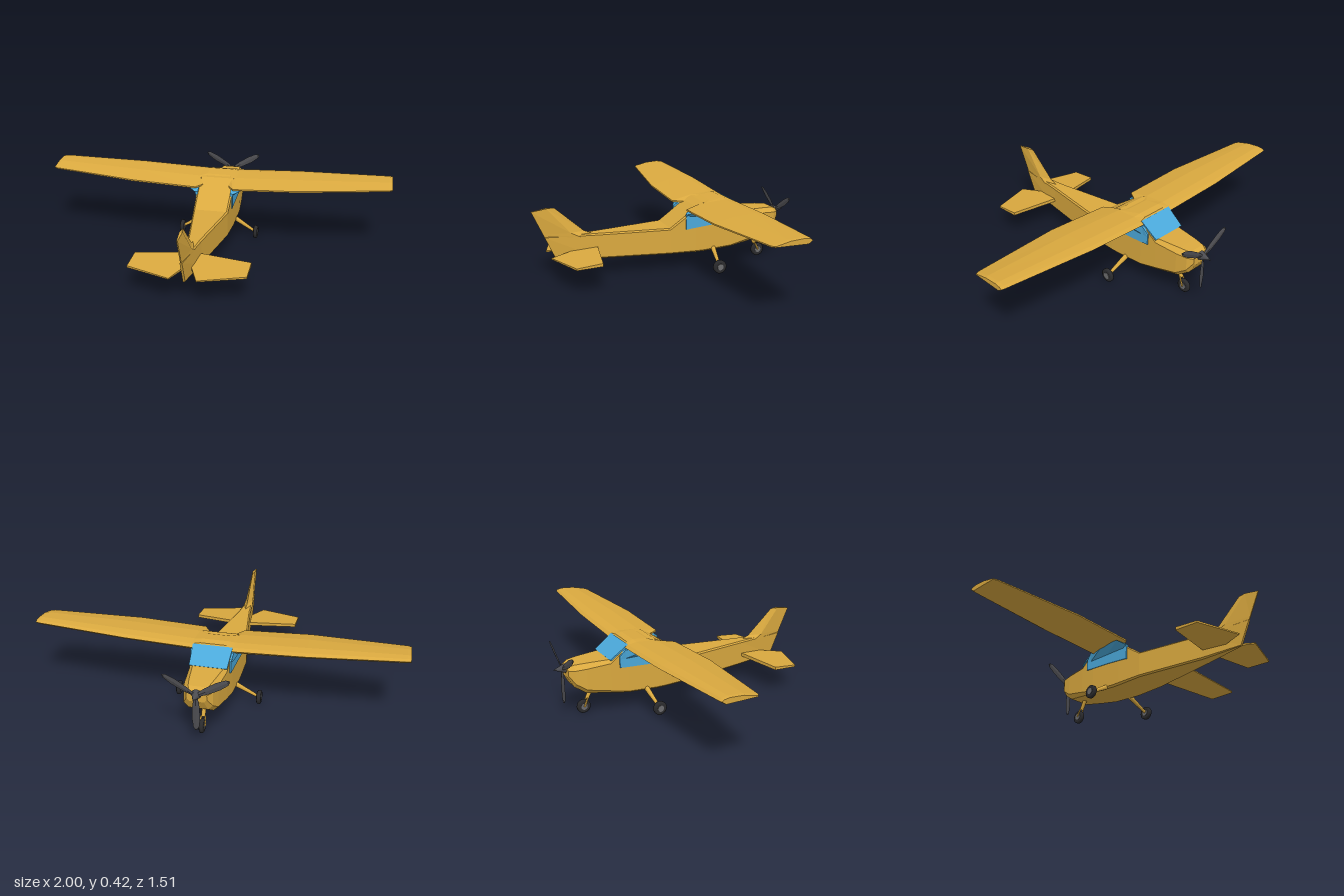
import * as THREE from 'three';

const mat = (name, color) => {
  const m = new THREE.MeshStandardMaterial({ color });
  m.name = name;
  return m;
};

// Flat-shaded solid through rings of [x, y, z] points, capped at both ends.
function loft(rings) {
  const pos = [], n = rings[0].length;
  const tri = (a, b, c) => pos.push(...a, ...b, ...c);
  for (let i = 0; i < rings.length - 1; i++) {
    for (let j = 0; j < n; j++) {
      const k = (j + 1) % n, A = rings[i], B = rings[i + 1];
      tri(A[j], A[k], B[k]);
      tri(A[j], B[k], B[j]);
    }
  }
  const last = rings[rings.length - 1];
  for (let j = 1; j < n - 1; j++) {
    tri(rings[0][0], rings[0][j + 1], rings[0][j]);
    tri(last[0], last[j], last[j + 1]);
  }
  // Turn all corners round when the enclosed volume comes out negative
  let vol = 0;
  const v = (i) => new THREE.Vector3().fromArray(pos, i);
  for (let i = 0; i < pos.length; i += 9) vol += v(i).dot(v(i + 3).cross(v(i + 6)));
  if (vol < 0) {
    for (let i = 0; i < pos.length; i += 9) {
      const b = pos.slice(i + 3, i + 6);
      for (let j = 0; j < 3; j++) {
        pos[i + 3 + j] = pos[i + 6 + j];
        pos[i + 6 + j] = b[j];
      }
    }
  }
  const g = new THREE.BufferGeometry();
  g.setAttribute('position', new THREE.Float32BufferAttribute(pos, 3));
  g.computeVertexNormals();
  return g;
}

export function createModel() {
  const group = new THREE.Group();
  const paint = mat('yellow paint', 0xdaa93f);
  const glass = mat('blue glass', 0x4ba9da);
  const rubber = mat('black rubber', 0x2b2b2d);
  const hubGrey = mat('hub grey', 0x6c6c6e);
  const propGrey = mat('propeller grey', 0x4c4c50);
  const add = (name, geo, material, parent = group) => {
    const m = new THREE.Mesh(geo, material);
    m.name = name;
    parent.add(m);
    return m;
  };
  const rod = (name, a, b, r1, r2) => {
    const p = new THREE.Vector3(...a), q = new THREE.Vector3(...b), d = q.clone().sub(p);
    const m = add(name, new THREE.CylinderGeometry(r2, r1, d.length(), 8), paint);
    m.position.copy(p).add(q).multiplyScalar(0.5);
    m.quaternion.setFromUnitVectors(new THREE.Vector3(0, 1, 0), d.normalize());
  };

  // Fuselage: z, half width, bottom, top, corner cut, rearward slant with height
  const body = [
    [-0.69, 0.052, 0.235, 0.29, 0.015, 0],
    [-0.66, 0.075, 0.18, 0.304, 0.025, 0],
    [-0.6, 0.087, 0.14, 0.308, 0.025, 0],
    [-0.47, 0.099, 0.12, 0.311, 0.018, 0],
    [-0.37, 0.105, 0.107, 0.382, 0.01, 0],
    [-0.2, 0.105, 0.096, 0.382, 0.01, 0],
    [-0.155, 0.105, 0.096, 0.36, 0.01, 0],
    [0, 0.1, 0.1, 0.25, 0.008, 0],
    [0.4, 0.037, 0.101, 0.245, 0.008, 0],
    [0.63, 0.006, 0.113, 0.245, 0.003, 0.45],
  ];
  add('fuselage', loft(body.map(([z, w, b, t, c, s]) => [
    [w - c, b], [w, b + c], [w, t - c], [w - c, t],
    [c - w, t], [-w, t - c], [-w, b + c], [c - w, b],
  ].map(([x, y]) => [x, y, z + (y - b) * s]))), paint);

  // Windshield
  add('windshield', loft([[-0.474, 0.313, 0.1], [-0.372, 0.386, 0.106]].map(([z, y, w]) => [
    [w, y, z], [-w, y, z], [-w, y - 0.006, z + 0.006], [w, y - 0.006, z + 0.006],
  ])), glass);

  // Side windows, flaring out below the wing: z, bottom, top, flare
  const pane = [
    [-0.42, 0.263, 0.33, 0.108],
    [-0.388, 0.26, 0.366, 0.115],
    [-0.25, 0.252, 0.362, 0.15],
    [-0.12, 0.24, 0.348, 0.16],
    [-0.092, 0.236, 0.328, 0.112],
  ];
  for (const s of [1, -1]) {
    add(s > 0 ? 'leftWindow' : 'rightWindow', loft(pane.map(([z, b, t, f]) => [
      [0.095, b], [0.109, b], [0.109, 0.31], [f, t - 0.005], [0.095, t],
    ].map(([x, y]) => [s * x, y, z]))), glass);
  }

  // Wing: x, leading edge, trailing edge, bottom, top
  const half = [
    [0.07, -0.375, -0.155, 0.345, 0.397],
    [0.11, -0.39, -0.09, 0.345, 0.392],
    [0.48, -0.39, -0.09, 0.361, 0.405],
    [0.98, -0.358, -0.15, 0.384, 0.418],
    [1, -0.354, -0.162, 0.387, 0.416],
  ];
  const span = [...half.map(([x, ...r]) => [-x, ...r]).reverse(), ...half];
  add('wing', loft(span.map(([x, le, te, b, t]) => {
    const c = te - le, h = t - b;
    return [
      [0, 0.55], [0.06, 0.85], [0.22, 1], [0.6, 0.82], [1, 0.2], [1, 0.02], [0.12, 0],
    ].map(([u, k]) => [x, b + k * h, le + u * c]);
  })), paint);

  // Tail fin: y, front, rear, half thickness
  add('tailFin', loft([
    [0.235, 0.4, 0.685, 0.028],
    [0.26, 0.47, 0.696, 0.022],
    [0.403, 0.63, 0.755, 0.008],
  ].map(([y, f, r, w], i) => {
    const yr = i === 2 ? 0.39 : y, m = f + (r - f) * 0.35;
    return [[0, y, f], [w, y, m], [0.003, yr, r], [-0.003, yr, r], [-w, y, m]];
  })), paint);

  // Tailplanes: thin tapered slabs
  for (const s of [1, -1]) {
    const outline = [[0.015, 0.4], [0.31, 0.45], [0.31, 0.59], [0.07, 0.67], [0.015, 0.54]];
    const y = (z) => 0.161 - (z - 0.4) * 0.07;
    const face = (d) => outline.map(([x, z]) => [s * x, y(z) + d * (0.01 - (z - 0.4) * 0.025), z]);
    add(s > 0 ? 'leftTailplane' : 'rightTailplane', loft([face(-1), face(1)]), paint);
  }

  // Landing gear
  const wheel = (name, x, z) => {
    const w = new THREE.Group();
    w.name = name;
    w.position.set(x, 0.038, z);
    w.rotation.z = Math.PI / 2;
    add('tyre', new THREE.LatheGeometry([
      [0.014, -0.01], [0.03, -0.012], [0.038, -0.007], [0.038, 0.007], [0.03, 0.012], [0.014, 0.01],
    ].map(([r, h]) => new THREE.Vector2(r, h)), 20), rubber, w);
    add('hub', new THREE.CylinderGeometry(0.018, 0.018, 0.026, 16), hubGrey, w);
    group.add(w);
  };
  for (const s of [1, -1]) {
    const side = s > 0 ? 'left' : 'right';
    wheel(side + 'Wheel', s * 0.226, -0.247);
    rod(side + 'GearLeg', [s * 0.09, 0.115, -0.262], [s * 0.218, 0.042, -0.248], 0.015, 0.008);
    rod('noseFork', [s * 0.01, 0.085, -0.573], [s * 0.015, 0.038, -0.595], 0.005, 0.005);
  }
  wheel('noseWheel', 0, -0.595);
  rod('noseLeg', [0, 0.135, -0.547], [0, 0.08, -0.575], 0.012, 0.011);

  // Propeller: spinner and three blades
  const prop = new THREE.Group();
  prop.name = 'propeller';
  prop.position.set(0, 0.277, -0.705);
  const spinner = add('spinner', new THREE.ConeGeometry(0.026, 0.067, 16), propGrey, prop);
  spinner.rotation.x = -Math.PI / 2;
  spinner.position.z = -0.017;
  const blade = loft([
    [0.01, 0.009], [0.06, 0.017], [0.13, 0.02], [0.18, 0.014], [0.195, 0.004],
  ].map(([r, w]) => [[w, -r, -0.003], [0, -r, 0.004], [-w, -r, 0.003], [0, -r, -0.004]]));
  for (let i = 0; i < 3; i++) {
    add('blade', blade, propGrey, prop).rotation.z = (i * Math.PI * 2) / 3;
  }
  group.add(prop);

  return group;
}
